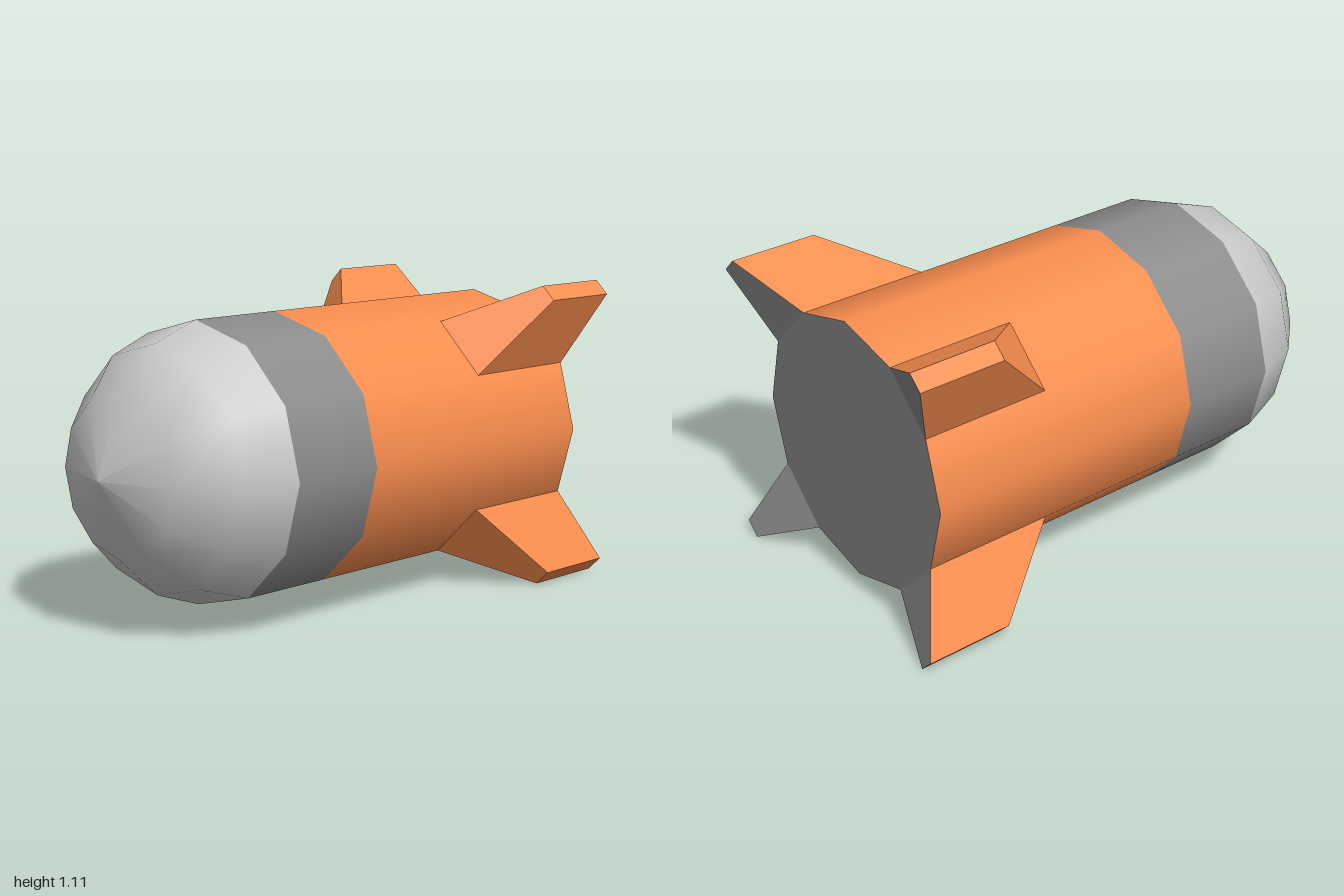
import * as THREE from 'three';

const SIDES = 12, R = 0.493, CENTRE_Y = 0.557;
const BACK_Z = -0.895, BAND_Z = 0.195, NOSE_Z = 0.565;

const mat = (color) => new THREE.MeshStandardMaterial({ color });

// Surface of revolution around z; profile points are [radius, z], rear to front
function turned(name, profile, material) {
  const geo = new THREE.LatheGeometry(profile.map(([r, z]) => new THREE.Vector2(r, z)), SIDES);
  geo.rotateX(Math.PI / 2);
  const mesh = new THREE.Mesh(geo, material);
  mesh.name = name;
  return mesh;
}

// Tapered, swept-back fin: x points outward, y across, z forward
function finGeometry() {
  const half = Math.PI / SIDES;
  const root = { r: R * Math.cos(half), w: R * Math.sin(half), front: -0.41, back: BACK_Z };
  const tip = { r: 0.75, w: 0.035, front: -0.675, back: -1 };
  const geo = new THREE.BoxGeometry(1, 1, 1);
  const pos = geo.attributes.position;
  for (let i = 0; i < pos.count; i++) {
    const end = pos.getX(i) > 0 ? tip : root;
    pos.setXYZ(i, end.r, Math.sign(pos.getY(i)) * end.w, pos.getZ(i) > 0 ? end.front : end.back);
  }
  geo.computeVertexNormals();
  return geo;
}

export function createModel() {
  const model = new THREE.Group();
  model.name = 'finnedCapsule';
  const body = new THREE.Group();
  body.name = 'body';
  body.position.y = CENTRE_Y;
  model.add(body);

  const light = mat(0xcccccc), dark = mat(0x8c8c8c), orange = mat(0xfb8e4f);

  // Hull, band and rounded nose
  body.add(
    turned('hull', [[R, BACK_Z], [R, BAND_Z]], orange),
    turned('band', [[R, BAND_Z], [R, NOSE_Z]], dark),
    turned('nose', [[R, NOSE_Z], [0.427, 0.75], [0.276, 0.915], [0, 1]], light),
  );

  // Flat rear cap
  const cap = new THREE.Mesh(new THREE.CircleGeometry(R, SIDES).rotateY(Math.PI), dark);
  cap.name = 'rearCap';
  cap.position.z = BACK_Z;
  body.add(cap);

  // Four diagonal fins with grey rear faces
  const finGeo = finGeometry();
  const finMaterials = [orange, orange, orange, orange, orange, dark];
  ['upperLeftFin', 'upperRightFin', 'lowerRightFin', 'lowerLeftFin'].forEach((name, i) => {
    const fin = new THREE.Mesh(finGeo, finMaterials);
    fin.name = name;
    fin.rotation.z = Math.PI / 4 + (i * Math.PI) / 2;
    body.add(fin);
  });

  return model;
}
